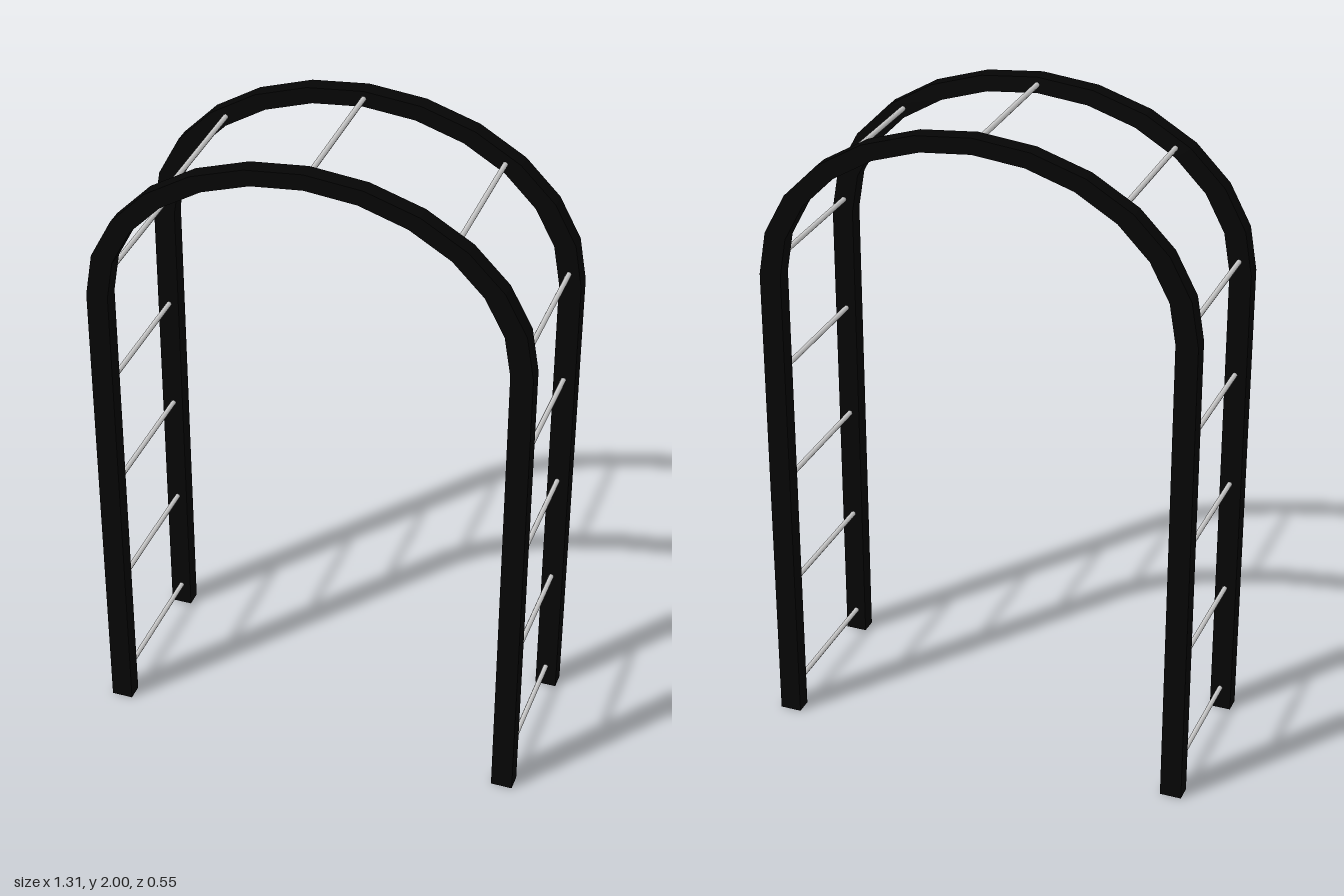
import * as THREE from 'three';

const SPRING = 1.49;              // height where the arch begins
const OUTER = [0.655, 0.51];      // half width and rise of the outer edge
const INNER = [0.59, 0.462];
const DEPTH = 0.05;               // thickness of each frame
const SEGMENTS = 12;

// Points of a half ellipse from the +x side over to the -x side
function archPoints([rx, ry]) {
  const points = [];
  for (let i = 0; i <= SEGMENTS; i++) {
    const a = (i / SEGMENTS) * Math.PI;
    points.push(new THREE.Vector2(rx * Math.cos(a), SPRING + ry * Math.sin(a)));
  }
  return points;
}

export function createModel() {
  const group = new THREE.Group();
  group.name = 'gardenArch';
  const frameMaterial = new THREE.MeshStandardMaterial({ color: 0x050505 });
  const rungMaterial = new THREE.MeshStandardMaterial({ color: 0xcccccc });

  // Arched frames: posts and faceted arch in one outline
  const outline = new THREE.Shape([
    new THREE.Vector2(OUTER[0], 0),
    ...archPoints(OUTER),
    new THREE.Vector2(-OUTER[0], 0),
    new THREE.Vector2(-INNER[0], 0),
    ...archPoints(INNER).reverse(),
    new THREE.Vector2(INNER[0], 0),
  ]);
  const frameGeometry = new THREE.ExtrudeGeometry(outline, { depth: DEPTH, bevelEnabled: false });
  frameGeometry.translate(0, 0, -DEPTH / 2);
  for (const [name, z] of [['frontFrame', 0.2475], ['backFrame', -0.2475]]) {
    const frame = new THREE.Mesh(frameGeometry, frameMaterial);
    frame.name = name;
    frame.position.z = z;
    group.add(frame);
  }

  // Thin round rungs joining the frames
  const rungGeometry = new THREE.CylinderGeometry(0.008, 0.008, 0.48, 8);
  rungGeometry.rotateX(Math.PI / 2);
  const addRung = (name, x, y) => {
    const rung = new THREE.Mesh(rungGeometry, rungMaterial);
    rung.name = name;
    rung.position.set(x, y, 0);
    group.add(rung);
  };
  const sideRungs = [[0.62, 0.073], [0.62, 0.437], [0.62, 0.802], [0.62, 1.167], [0.617, 1.528], [0.417, 1.846]];
  for (const [x, y] of sideRungs) {
    addRung('leftRung', x, y);
    addRung('rightRung', -x, y);
  }
  addRung('topRung', 0, 1.977);

  return group;
}
